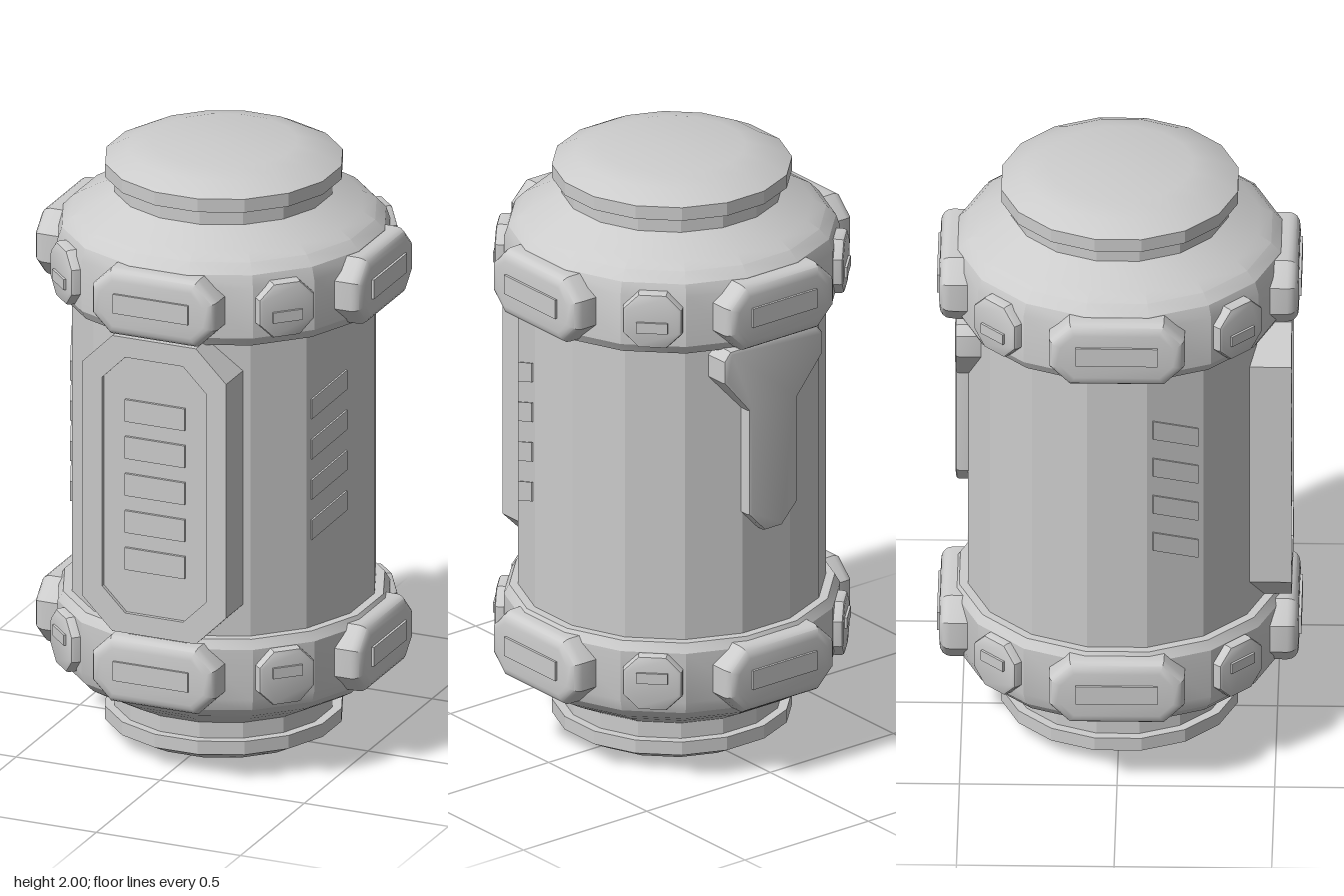
import * as THREE from 'three';
import { toCreasedNormals } from 'three/addons/utils/BufferGeometryUtils.js';

const SIDES = 16;
const RING_Y = 0.625; // height of the pads above and below the middle

// Octagon: a rectangle with cut corners, centred on the origin
function octagon(w, h, c, Type = THREE.Shape) {
  const x = w / 2, y = h / 2;
  return new Type([
    [x, -y + c], [x, y - c], [x - c, y], [-x + c, y],
    [-x, y - c], [-x, -y + c], [-x + c, -y], [x - c, -y],
  ].map(([a, b]) => new THREE.Vector2(a, b)));
}

// Extrudes a shape so that it spans z0 to z1, with an optional bevel inside that span
function slab(shape, z0, z1, bevel = 0, segments = 3) {
  const g = new THREE.ExtrudeGeometry(shape, {
    depth: z1 - z0 - 2 * bevel,
    bevelEnabled: bevel > 0,
    bevelSize: bevel,
    bevelThickness: bevel,
    bevelOffset: -bevel,
    bevelSegments: segments,
  });
  g.translate(0, 0, z0 + bevel);
  return toCreasedNormals(g, 0.6);
}

export function createModel() {
  const model = new THREE.Group();
  const grey = new THREE.MeshStandardMaterial({ color: 0xcccccc });
  grey.name = 'grey metal';

  const add = (parent, name, geometry, x = 0, y = 0, z = 0) => {
    const mesh = new THREE.Mesh(geometry, grey);
    mesh.name = name;
    mesh.position.set(x, y, z);
    parent.add(mesh);
    return mesh;
  };
  // Group turned about the axis, so its local +z points outward
  const turned = (name, angle, y = 0) => {
    const group = new THREE.Group();
    group.name = name;
    group.rotation.y = angle;
    group.position.y = y;
    model.add(group);
    return group;
  };

  // Canister body: half profile [flat-to-centre radius, height above middle], mirrored
  const upper = [
    [0.48, 0.5], [0.508, 0.5], [0.525, 0.53], [0.525, 0.7], [0.512, 0.74],
    [0.482, 0.772], [0.44, 0.797], [0.345, 0.847], [0.345, 0.9], [0.375, 0.9],
    [0.375, 0.945], [0.305, 0.982], [0.23, 1], [0, 1],
  ];
  const lower = upper.map(([r, y]) => [r, -y]).reverse();
  const profile = [...lower, ...upper].map(
    ([r, y]) => new THREE.Vector2(r / Math.cos(Math.PI / SIDES), y + 1));
  const body = new THREE.LatheGeometry(profile, SIDES, Math.PI / SIDES);
  add(model, 'body', toCreasedNormals(body, 0.35));

  // Pads around both collars: large on the four faces, small on the diagonals
  const largePad = slab(octagon(0.43, 0.225, 0.065), 0.44, 0.57, 0.036, 4);
  const largePlate = new THREE.BoxGeometry(0.26, 0.065, 0.04);
  const smallPad = slab(octagon(0.19, 0.185, 0.05), 0.46, 0.557, 0.012, 2);
  const smallPlate = new THREE.BoxGeometry(0.1, 0.036, 0.02);
  for (const side of [1, -1]) {
    for (let i = 0; i < 4; i++) {
      const y = 1 + side * RING_Y;
      const large = turned('largePad', i * Math.PI / 2, y);
      add(large, 'padBlock', largePad);
      add(large, 'padPlate', largePlate, 0, 0.003, 0.558);
      const small = turned('smallPad', (i + 0.5) * Math.PI / 2, y);
      add(small, 'padBlock', smallPad);
      add(small, 'padPlate', smallPlate, 0, -side * 0.02, 0.555);
    }
  }

  // Front panel: frame, recessed floor and five raised bars
  const panel = turned('frontPanel', 0, 1.005);
  const frame = octagon(0.5, 1.005, 0.105);
  frame.holes.push(octagon(0.36, 0.87, 0.08, THREE.Path));
  add(panel, 'panelFrame', slab(frame, 0.38, 0.548));
  add(panel, 'panelFloor', slab(octagon(0.38, 0.89, 0.085), 0.4, 0.535));
  for (let i = -2; i <= 2; i++) {
    add(panel, 'panelBar', new THREE.BoxGeometry(0.208, 0.075, 0.02), 0, i * 0.126, 0.534);
  }

  // Slanted bars on each flank, rising toward the back
  for (const side of [1, -1]) {
    const flank = turned('flankBars', side * Math.PI * 3 / 8);
    const w = 0.077 * side, rise = 0.03, h = 0.033;
    const points = [
      [-w, -rise - h], [w, rise - h], [w, rise + h], [-w, -rise + h],
    ].map(([x, y]) => new THREE.Vector2(x, y));
    const bar = slab(new THREE.Shape(points), 0.47, 0.486);
    for (let i = 0; i < 4; i++) add(flank, 'flankBar', bar, 0, 0.86 + i * 0.137);
  }

  // Back plate: wide at the top, narrowing to a cut tip
  const half = [
    [0.035, 0.85], [0.1, 0.92], [0.1, 1.28], [0.2, 1.4], [0.2, 1.475], [0.175, 1.505],
  ];
  const outline = [...half, ...half.map(([x, y]) => [-x, y]).reverse()]
    .map(([x, y]) => new THREE.Vector2(x, y));
  const back = turned('backPlate', Math.PI);
  add(back, 'backPlateBlock', slab(new THREE.Shape(outline), 0.38, 0.52, 0.012, 2));

  return model;
}
